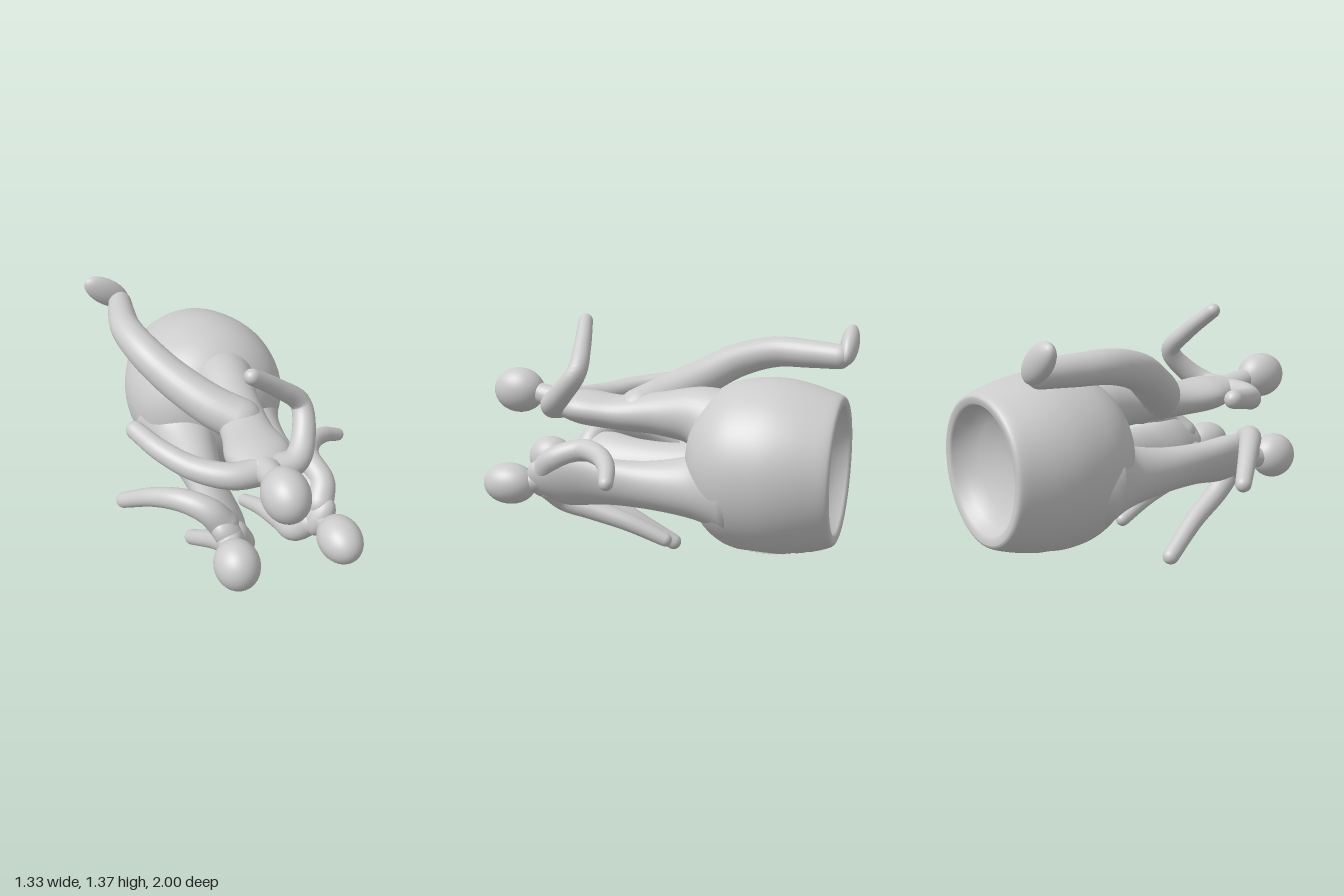
import * as THREE from 'three';
import { mergeVertices } from 'three/addons/utils/BufferGeometryUtils.js';

const material = new THREE.MeshStandardMaterial({ color: 0xcccccc });
const vec = p => new THREE.Vector3(...p);

function addMesh(parent, name, geometry) {
  const mesh = new THREE.Mesh(geometry, material);
  mesh.name = name;
  parent.add(mesh);
  return mesh;
}

// Smooth round-ended loft through points. Each radius pair [a, b] is
// along the tilt direction (in the xy plane) and across it.
function loft(points, pairs, tilt = Math.PI / 2, sides = 28) {
  const path = new THREE.CatmullRomCurve3(points.map(vec));
  const radii = new THREE.CatmullRomCurve3(pairs.map(([a, b]) => vec([a, b, 0])), false, 'catmullrom');
  const steps = (points.length - 1) * 8, capSteps = 6;
  const stations = [];
  for (let k = capSteps; k > 0; k--) stations.push([0, -k / capSteps]);
  for (let i = 0; i <= steps; i++) stations.push([i / steps, 0]);
  for (let k = 1; k <= capSteps; k++) stations.push([1, k / capSteps]);

  const positions = [], index = [];
  stations.forEach(([u, cap], i) => {
    const t = path.getTangent(u), r = radii.getPoint(u), c = path.getPoint(u);
    const side = new THREE.Vector3(Math.cos(tilt), Math.sin(tilt), 0);
    side.addScaledVector(t, -side.dot(t)).normalize();
    const across = new THREE.Vector3().crossVectors(t, side);
    const angle = cap * Math.PI / 2 * 0.99, shrink = Math.cos(angle);
    c.addScaledVector(t, Math.sin(angle) * Math.min(r.x, r.y));
    for (let j = 0; j < sides; j++) {
      const phi = j / sides * Math.PI * 2;
      const p = c.clone()
        .addScaledVector(side, r.x * shrink * Math.cos(phi))
        .addScaledVector(across, r.y * shrink * Math.sin(phi));
      positions.push(p.x, p.y, p.z);
      if (i) {
        const n = (j + 1) % sides, lo = (i - 1) * sides, hi = i * sides;
        index.push(lo + j, lo + n, hi + n, lo + j, hi + n, hi + j);
      }
    }
  });
  const geometry = new THREE.BufferGeometry();
  geometry.setAttribute('position', new THREE.Float32BufferAttribute(positions, 3));
  geometry.setIndex(index);
  geometry.computeVertexNormals();
  return geometry;
}

// Round limb tapering evenly from one radius to another
function addLimb(parent, name, r0, r1, ...points) {
  const pairs = points.map((_, i) => {
    const r = r0 + (r1 - r0) * i / (points.length - 1);
    return [r, r];
  });
  return addMesh(parent, name, loft(points, pairs));
}

function addEllipsoid(parent, name, center, size) {
  const mesh = addMesh(parent, name, new THREE.SphereGeometry(1, 32, 24));
  mesh.position.set(...center);
  mesh.scale.set(...size);
  return mesh;
}

// Trunk, neck and head; the trunk runs forward from inside the vessel
function addFigure(parent, name, xBack, xFront, heights, tilt, head, headSize) {
  const figure = new THREE.Group();
  figure.name = name;
  parent.add(figure);
  const depths = [-0.45, -0.28, -0.05, 0.2, 0.42, 0.57];
  const radii = [[0.26, 0.26], [0.17, 0.17], [0.135, 0.12], [0.14, 0.095], [0.17, 0.093], [0.115, 0.07]];
  const spine = depths.map((z, i) => [xBack + (xFront - xBack) * i / 5, heights[i], z]);
  addMesh(figure, 'trunk', loft(spine, radii, tilt, 36));
  const [x, y, z] = head;
  addLimb(figure, 'neck', 0.07, 0.055, spine[5], [x, y, z - 0.09]);
  addEllipsoid(figure, 'head', head, headSize);
  return figure;
}

// Rounded vessel lying on its side: hollow back, flattened underside
function vesselGeometry() {
  const bowl = [[0, -0.84], [0.12, -0.85], [0.23, -0.88], [0.3, -0.93], [0.325, -0.985], [0.335, -0.998]]
    .map(p => new THREE.Vector2(...p));
  const shell = new THREE.SplineCurve([
    [0.365, -1], [0.385, -0.985], [0.41, -0.92], [0.445, -0.8], [0.463, -0.68], [0.457, -0.55],
    [0.43, -0.44], [0.37, -0.34], [0.27, -0.26], [0.14, -0.215], [0, -0.2],
  ].map(p => new THREE.Vector2(...p))).getPoints(50);
  let geometry = new THREE.LatheGeometry([...bowl, ...shell], 72);
  geometry.rotateX(Math.PI / 2);
  const pos = geometry.attributes.position;
  for (let i = 0; i < pos.count; i++) {
    const x = pos.getX(i) + 0.045, y = pos.getY(i);
    const floor = 0.235 + 0.03 * x;
    pos.setXYZ(i, x, Math.max(floor, 0.66 + y * (y > 0 ? 0.946 : 1.06)), pos.getZ(i));
  }
  geometry.deleteAttribute('uv');
  geometry.deleteAttribute('normal');
  geometry = mergeVertices(geometry, 1e-5);
  geometry.computeVertexNormals();
  return geometry;
}

// Ribbed disc set in the flat underside
function addBase(parent) {
  const base = new THREE.Group();
  base.name = 'ribbedBase';
  base.position.set(0.07, 0.237, -0.66);
  base.rotation.z = 0.03;
  parent.add(base);
  addMesh(base, 'baseDisc', new THREE.CylinderGeometry(0.2, 0.2, 0.014, 48));
  addMesh(base, 'baseHub', new THREE.CylinderGeometry(0.09, 0.09, 0.026, 32));
  for (let i = 0; i < 36; i++) {
    const rib = new THREE.BoxGeometry(0.11, 0.024, 0.009);
    rib.translate(0.14, 0, 0).rotateY(i / 36 * Math.PI * 2);
    addMesh(base, 'baseRib', rib);
  }
}

export function createModel() {
  const model = new THREE.Group();
  model.name = 'vesselWithThreeFigures';
  addMesh(model, 'vessel', vesselGeometry());
  addBase(model);

  // Upper figure, with one leg trailing back over the vessel
  const upper = addFigure(model, 'upperFigure', 0.09, 0, [0.78, 0.87, 0.875, 0.86, 0.875, 0.89], 0,
    [-0.005, 0.94, 0.85], [0.115, 0.128, 0.15]);
  addLimb(upper, 'rightArm', 0.075, 0.048, [0, 0.88, 0.56], [-0.16, 0.88, 0.56],
    [-0.32, 0.89, 0.46], [-0.45, 0.925, 0.31], [-0.54, 0.955, 0.13]);
  addLimb(upper, 'leftArm', 0.075, 0.04, [0.03, 0.88, 0.56], [0.16, 0.9, 0.56],
    [0.235, 0.98, 0.47], [0.255, 1.1, 0.37], [0.13, 1.22, 0.39], [-0.03, 1.345, 0.44]);
  addLimb(upper, 'leg', 0.12, 0.068, [0.03, 0.88, 0.1], [-0.1, 0.94, 0], [-0.25, 1.03, -0.17],
    [-0.36, 1.12, -0.34], [-0.415, 1.17, -0.54], [-0.4, 1.17, -0.74], [-0.375, 1.165, -0.9]);
  const foot = addEllipsoid(upper, 'foot', [-0.44, 1.225, -0.945], [0.145, 0.077, 0.05]);
  foot.rotation.z = 2.54;

  // Lower figure on the right
  const lowerHeights = [0.56, 0.54, 0.53, 0.53, 0.53, 0.52];
  const right = addFigure(model, 'lowerRightFigure', -0.15, -0.185, lowerHeights, 2.22,
    [-0.21, 0.5, 0.765], [0.115, 0.127, 0.135]);
  addLimb(right, 'raisedArm', 0.08, 0.042, [-0.2, 0.56, 0.52], [-0.27, 0.645, 0.5],
    [-0.37, 0.675, 0.42], [-0.49, 0.635, 0.29], [-0.625, 0.53, 0.13]);
  addLimb(right, 'loweredArm', 0.075, 0.045, [-0.15, 0.5, 0.54], [-0.1, 0.41, 0.52],
    [-0.115, 0.31, 0.41], [-0.15, 0.2, 0.22], [-0.22, 0.055, -0.01]);

  // Lower figure on the left
  const left = addFigure(model, 'lowerLeftFigure', 0.22, 0.31, lowerHeights, 1.13,
    [0.35, 0.49, 0.735], [0.113, 0.112, 0.15]);
  addLimb(left, 'raisedArm', 0.075, 0.036, [0.32, 0.58, 0.53], [0.36, 0.65, 0.46],
    [0.345, 0.71, 0.3], [0.42, 0.705, 0.17], [0.53, 0.675, 0.085], [0.63, 0.63, 0.045]);
  addLimb(left, 'loweredArm', 0.075, 0.038, [0.27, 0.47, 0.53], [0.21, 0.385, 0.47],
    [0.19, 0.34, 0.33], [0.16, 0.275, 0.12], [0.125, 0.19, -0.08]);
  return model;
}
